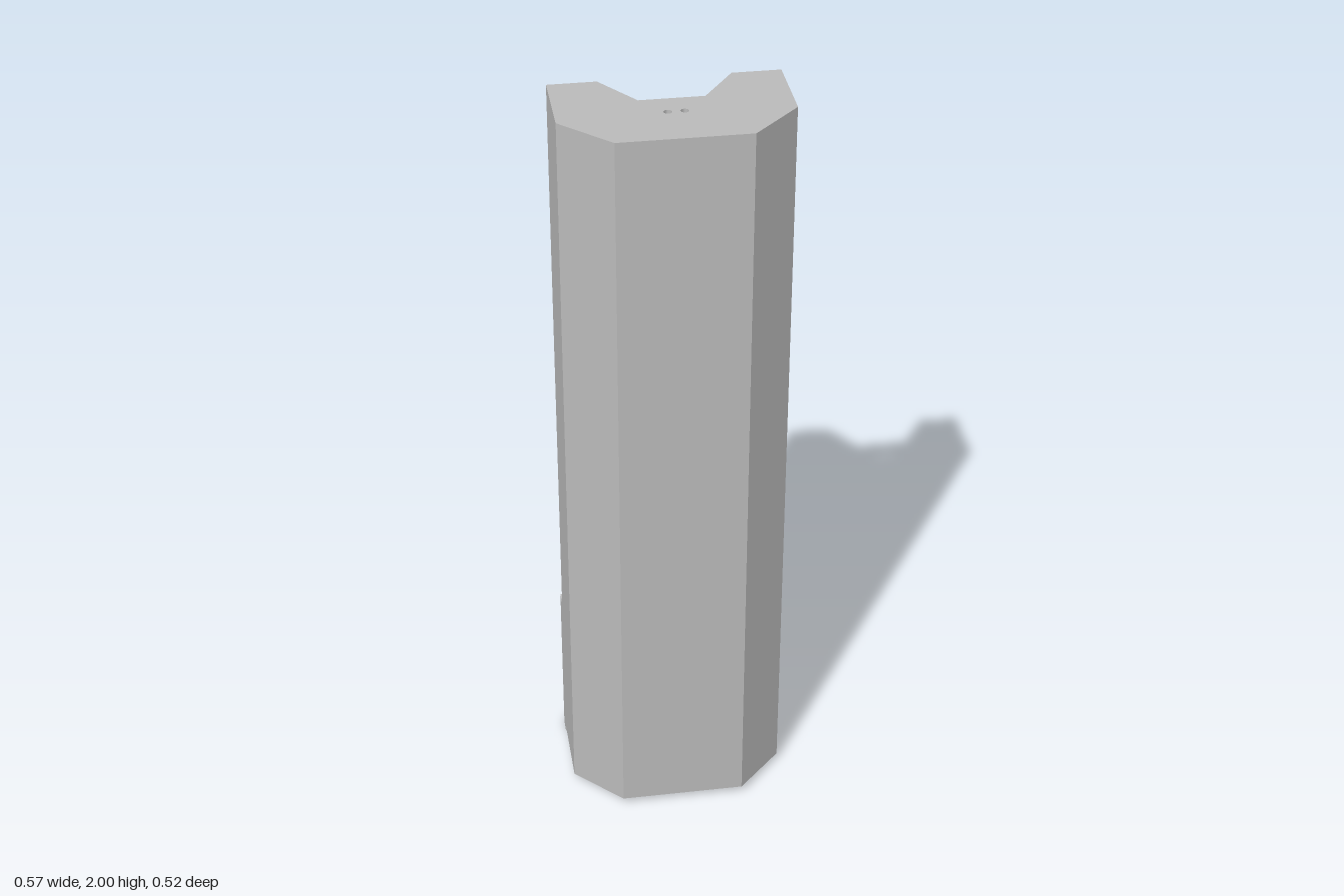
import * as THREE from 'three';
import { toCreasedNormals } from 'three/addons/utils/BufferGeometryUtils.js';

const grey = new THREE.MeshStandardMaterial({ color: 0xbababa });
grey.name = 'machined grey';

const polygon = (pts) => new THREE.Shape(pts.map(([x, y]) => new THREE.Vector2(x, y)));

function addHoles(shape, holes) {
  for (const [x, y, r] of holes) {
    const hole = new THREE.Path();
    hole.absarc(x, y, r, 0, Math.PI * 2, true);
    shape.holes.push(hole);
  }
  return shape;
}

function extrude(shape, depth) {
  return new THREE.ExtrudeGeometry(shape, { depth, bevelEnabled: false, curveSegments: 14 });
}

// Shape drawn in (x, z), standing between two heights
function upright(shape, y0, y1) {
  return extrude(shape, y1 - y0).rotateX(Math.PI / 2).translate(0, y1, 0);
}

// Shape drawn in (x, y), lying between two depths
function slab(shape, z0, z1) {
  return extrude(shape, z1 - z0).translate(0, 0, z0);
}

// Flanged nut housing: u across, v outward from the mounting face
function housingShape({ flange, thick, half, end, centre, corner }) {
  const s = new THREE.Shape();
  s.moveTo(-flange, 0);
  s.lineTo(flange, 0);
  s.lineTo(flange, thick);
  s.lineTo(half, thick);
  s.lineTo(half, end - corner);
  s.absarc(half - corner, end - corner, corner, 0, Math.PI / 2);
  s.lineTo(corner - half, end);
  s.absarc(corner - half, end - corner, corner, Math.PI / 2, Math.PI);
  s.lineTo(-half, thick);
  s.lineTo(-flange, thick);
  s.closePath();
  const holes = [[0, centre, 0.04]];
  for (const deg of [45, 90, 135, 225, 270, 315]) {
    const a = THREE.MathUtils.degToRad(deg);
    holes.push([0.054 * Math.cos(a), centre + 0.053 * Math.sin(a), 0.0065]);
  }
  return addHoles(s, holes);
}

export function createModel() {
  const group = new THREE.Group();
  const add = (name, geometry) => {
    const mesh = new THREE.Mesh(toCreasedNormals(geometry, 0.5), grey);
    mesh.name = name;
    group.add(mesh);
  };

  // Hollow folded column, open at the back and the bottom
  const outer = [[0.19, -0.065], [0.283, -0.065], [0.283, 0.14], [0.163, 0.26]];
  const inner = [[0.19, -0.055], [0.273, -0.055], [0.273, 0.136], [0.159, 0.25]];
  const mirrored = (pts) => pts.map(([x, z]) => [-x, z]).reverse();
  add('columnShell', upright(polygon([
    ...outer, ...mirrored(outer), ...mirrored(inner).reverse(), ...[...inner].reverse(),
  ]), 0.02, 1.99));

  // Top cap with a tapered notch and two cable holes
  const half = [[0.08, 0.05], [0.162, -0.065], ...outer.slice(1)];
  add('topCap', upright(addHoles(polygon([...half, ...mirrored(half)]),
    [[-0.02, 0.12, 0.01], [0.02, 0.12, 0.01]]), 1.99, 2));

  for (const side of [1, -1]) {
    const label = side > 0 ? 'left' : 'right';
    const rect = (x0, x1, y0, y1) => {
      const a = Math.min(side * x0, side * x1), b = Math.max(side * x0, side * x1);
      return polygon([[a, y0], [b, y0], [b, y1], [a, y1]]);
    };

    // Drilled back plate
    const holes = [];
    for (const x of [0.083, 0.17]) for (const y of [0.225, 0.32]) holes.push([side * x, y, 0.013]);
    for (const y of [0.07, 0.18, 0.3, 0.42]) holes.push([side * 0.267, y, 0.006]);
    for (const y of [0.09, 0.41]) holes.push([side * 0.085, y, 0.006], [side * 0.17, y, 0.006]);
    for (const x of [0.12, 0.225]) holes.push([side * x, 0.02, 0.009], [side * x, 0.27, 0.007]);
    add(label + 'BackPlate', slab(addHoles(rect(0.065, 0.283, 0, 0.455), holes), -0.107, -0.065));

    // Guide block above the plate, its outer back edge chamfered
    const blockShape = () => addHoles(rect(0.062, 0.19, 0.455, 0.625),
      [0.09, 0.145].flatMap((x) => [0.49, 0.58].map((y) => [side * x, y, 0.011])));
    add(label + 'GuideBlock', slab(blockShape(), -0.107, -0.062));
    const chamfered = slab(blockShape(), -0.135, -0.107);
    const p = chamfered.attributes.position;
    for (let i = 0; i < p.count; i++) {
      if (p.getZ(i) < -0.13 && Math.abs(p.getX(i)) > 0.18) p.setX(i, side * 0.162);
    }
    add(label + 'GuideBlockBack', chamfered);
  }

  // Central nut housing, bored vertically
  add('centreNutHousing', upright(housingShape({
    flange: 0.0625, thick: 0.07, half: 0.056, end: 0.125, centre: 0.063, corner: 0.028,
  }), 0.33, 0.485).translate(0, 0, -0.135));

  // Rear nut housing, bored sideways
  const place = new THREE.Matrix4().makeBasis(
    new THREE.Vector3(0, 1, 0), new THREE.Vector3(0, 0, -1), new THREE.Vector3(-1, 0, 0));
  place.setPosition(-0.142, 0.23, -0.107);
  add('rearNutHousing', extrude(housingShape({
    flange: 0.09, thick: 0.028, half: 0.057, end: 0.155, centre: 0.088, corner: 0.026,
  }), 0.101).applyMatrix4(place));

  return group;
}
